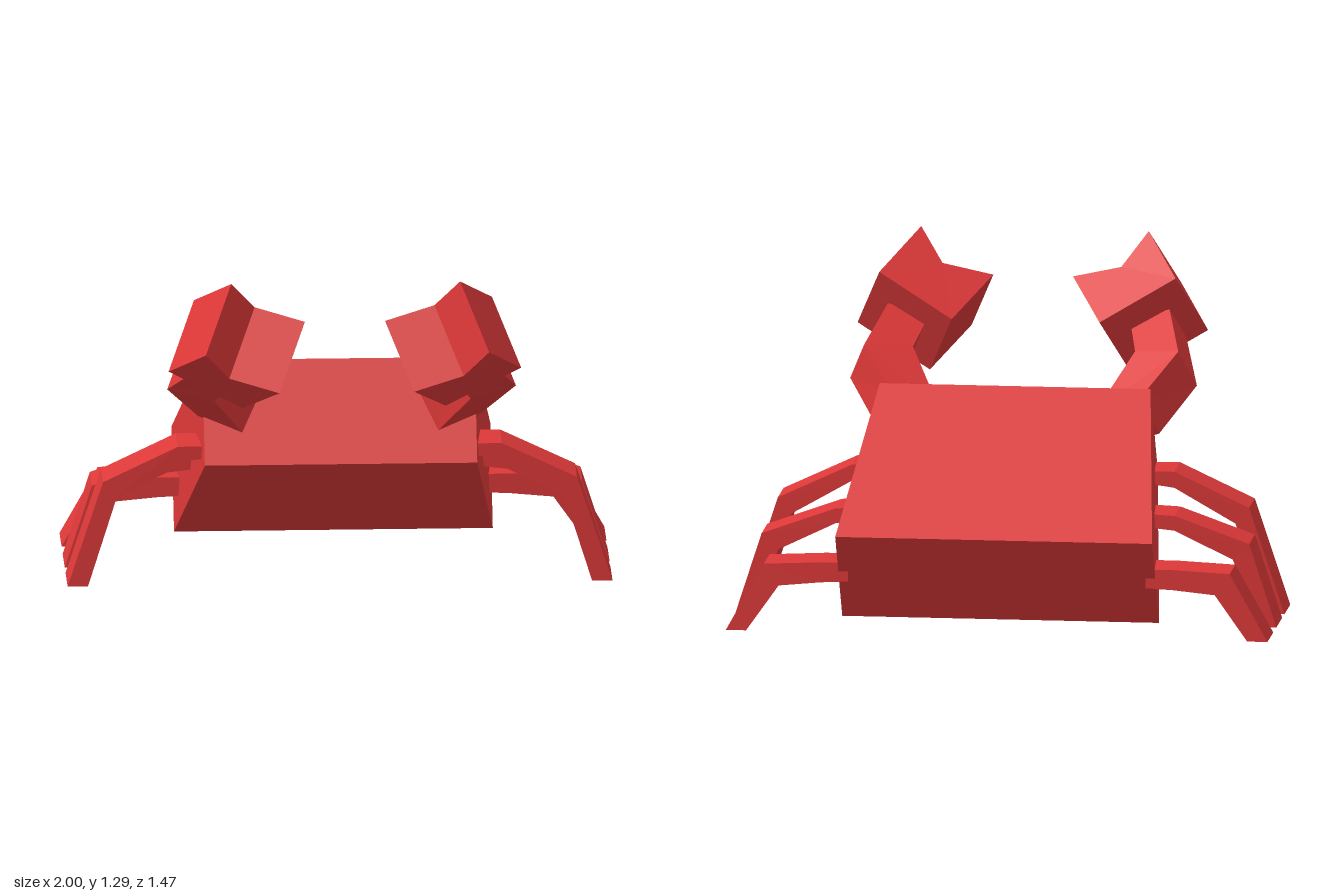
import * as THREE from 'three';

const material = new THREE.MeshStandardMaterial({ color: 0xdd3838, flatShading: true });

// Skins a row of matching cross-sections and closes both ends (caps fan from each section's first point).
function loft(name, sections, side = 1) {
  const rings = sections.map(r => r.map(([x, y, z]) => new THREE.Vector3(x * side, y, z)));
  const tris = [];
  const n = rings[0].length;
  for (let i = 0; i + 1 < rings.length; i++) {
    for (let j = 0; j < n; j++) {
      const k = (j + 1) % n;
      const [a, b, c, d] = [rings[i][j], rings[i][k], rings[i + 1][k], rings[i + 1][j]];
      tris.push([a, b, c], [a, c, d]);
    }
  }
  const first = rings[0], last = rings[rings.length - 1];
  for (let j = 1; j + 1 < n; j++) {
    tris.push([first[0], first[j + 1], first[j]], [last[0], last[j], last[j + 1]]);
  }
  // Turn every face outward: a negative volume means the winding is reversed
  const volume = tris.reduce((v, [a, b, c]) => v + a.dot(b.clone().cross(c)), 0);
  if (volume < 0) tris.forEach(t => t.reverse());
  const geometry = new THREE.BufferGeometry().setFromPoints(tris.flat());
  geometry.computeVertexNormals();
  const mesh = new THREE.Mesh(geometry, material);
  mesh.name = name;
  return mesh;
}

// Leg profiles from body to foot: [upper x, upper y, lower x, lower y]; shift slants the leg root in z
const legs = [
  { name: 'frontLeg', z: -0.018, shift: -0.012,
    path: [[0.49, 0.525, 0.49, 0.48], [0.595, 0.525, 0.595, 0.465], [0.87, 0.395, 0.82, 0.335], [1, 0, 0.925, 0]] },
  { name: 'middleLeg', z: -0.273, shift: -0.012,
    path: [[0.53, 0.415, 0.53, 0.365], [0.625, 0.41, 0.625, 0.355], [0.9, 0.31, 0.84, 0.25], [1, 0, 0.925, 0]] },
  { name: 'backLeg', z: -0.552, shift: 0.004,
    path: [[0.55, 0.26, 0.55, 0.19], [0.65, 0.26, 0.65, 0.185], [0.86, 0.25, 0.805, 0.17], [1, 0, 0.925, 0]] },
];

function makeLeg({ name, z, shift, path }, side) {
  const half = 0.092;
  return loft(name, path.map(([ux, uy, lx, ly]) => {
    const mid = z + shift * (1 - ux) * 2;
    return [[ux, uy, mid - half], [ux, uy, mid + half], [lx, ly, mid + half], [lx, ly, mid - half]];
  }), side);
}

// Bent arm: shoulder, elbow and wrist sections
const arm = [
  [[0.45, 0.77, -0.03], [0.52, 0.635, 0.04], [0.355, 0.578, 0.085], [0.287, 0.715, 0.005]],
  [[0.58, 0.925, 0.13], [0.64, 0.785, 0.205], [0.47, 0.765, 0.305], [0.41, 0.905, 0.22]],
  [[0.52, 1.035, 0.37], [0.57, 0.913, 0.47], [0.42, 0.87, 0.49], [0.37, 0.99, 0.40]],
];

// Notched pincer outline, starting at the notch, and its thickness
const pincer = [
  [0.33, 1.17, 0.47], [0.147, 1.123, 0.508], [0.273, 1.0, 0.268],
  [0.547, 1.159, 0.328], [0.42, 1.287, 0.567],
];
const thickness = [0.1, -0.223, 0.17];

export function createModel() {
  const model = new THREE.Group();
  model.name = 'crab';

  // Tilted body, wider at the back
  const bodySection = (w, [ty, tz], [by, bz]) =>
    [[-w, ty, tz], [w, ty, tz], [w, by, bz], [-w, by, bz]];
  model.add(loft('body', [
    bodySection(0.5, [0.82, -0.06], [0.48, 0.163]),
    bodySection(0.585, [0.375, -0.738], [0.037, -0.515]),
  ]));

  // Limbs on both sides
  for (const side of [1, -1]) {
    const limbs = new THREE.Group();
    limbs.name = side > 0 ? 'leftLimbs' : 'rightLimbs';
    legs.forEach(leg => limbs.add(makeLeg(leg, side)));
    limbs.add(loft('arm', arm, side));
    limbs.add(loft('pincer', [pincer, pincer.map(p => p.map((v, i) => v + thickness[i]))], side));
    model.add(limbs);
  }
  return model;
}
